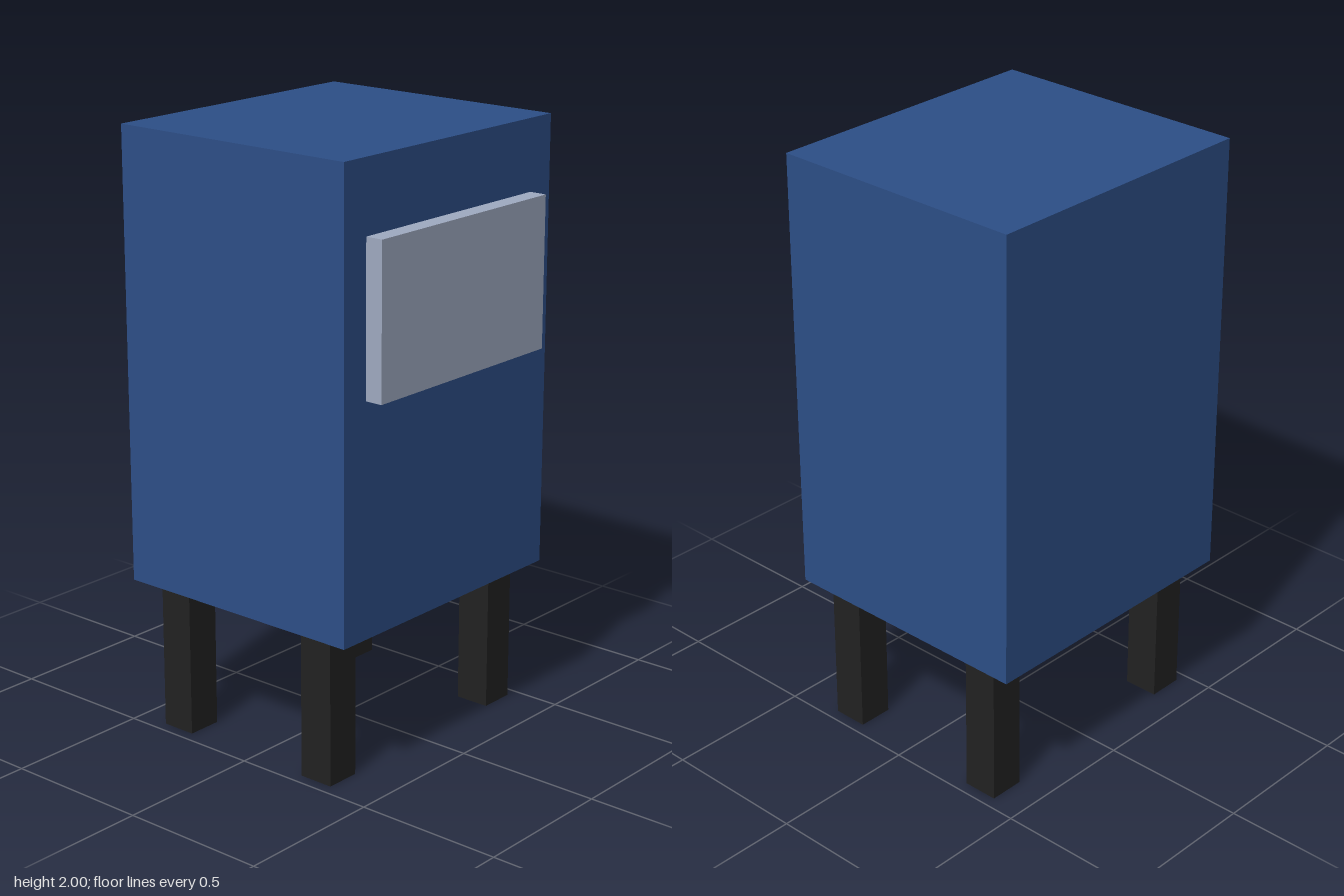
import * as THREE from 'three';

const bodyBlue = new THREE.MeshStandardMaterial({ name: 'bodyBlue', color: 0x2d4f88 });
const panelGrey = new THREE.MeshStandardMaterial({ name: 'panelGrey', color: 0xa0abc2 });
const legBlack = new THREE.MeshStandardMaterial({ name: 'legBlack', color: 0x222222 });

function box(name, material, size, position) {
  const mesh = new THREE.Mesh(new THREE.BoxGeometry(...size), material);
  mesh.name = name;
  mesh.position.set(...position);
  return mesh;
}

export function createModel() {
  const model = new THREE.Group();
  model.name = 'boxOnLegs';

  // Cabinet body and the raised panel on its front
  model.add(box('body', bodyBlue, [1, 1.5, 0.9], [0, 1.25, -0.03]));
  model.add(box('frontPanel', panelGrey, [0.8, 0.5, 0.06], [0, 1.515, 0.45]));

  // Four square legs
  for (const [side, x] of [['Left', 0.4], ['Right', -0.4]]) {
    for (const [end, z] of [['front', 0.27], ['back', -0.33]]) {
      model.add(box(`${end}${side}Leg`, legBlack, [0.12, 0.5, 0.12], [x, 0.25, z]));
    }
  }
  return model;
}
